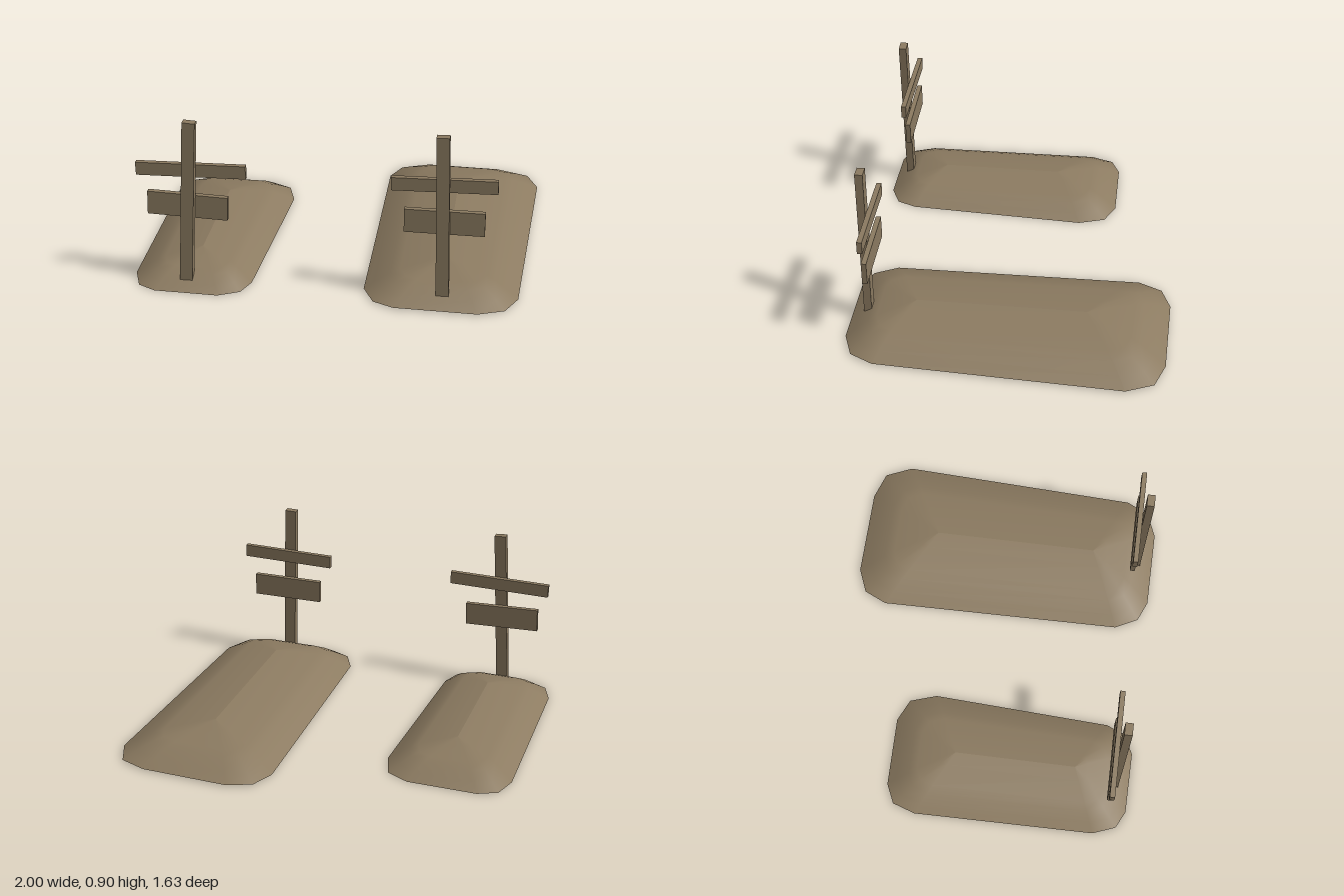
import * as THREE from 'three';

const earth = new THREE.MeshStandardMaterial({ color: 0x8c7b61, side: THREE.DoubleSide });
earth.name = 'weathered earth';

// Rise of the mound from rim (0) to ridge (1): [inset, height fraction]
const RISE = [[0, 0], [0.15, 0.3], [0.32, 0.57], [0.44, 0.7], [0.78, 0.91], [1, 1]];

// Open shell: rings shrink from the rim outline onto a straight ridge
function mound(name, rim, ridgeX, ridgeBack, ridgeFront, base, top) {
  const positions = [], index = [], n = rim.length;
  for (const [t, h] of RISE) {
    for (const [x, z] of rim) {
      const ridgeZ = z < (ridgeBack + ridgeFront) / 2 ? ridgeBack : ridgeFront;
      positions.push(x + (ridgeX - x) * t, base + (top - base) * h, z + (ridgeZ - z) * t);
    }
  }
  for (let r = 0; r < RISE.length - 1; r++) {
    for (let i = 0; i < n; i++) {
      const j = (i + 1) % n, a = r * n + i, b = r * n + j;
      index.push(a, a + n, b, b, a + n, b + n);
    }
  }
  const geometry = new THREE.BufferGeometry();
  geometry.setAttribute('position', new THREE.Float32BufferAttribute(positions, 3));
  geometry.setIndex(index);
  geometry.computeVertexNormals();
  const mesh = new THREE.Mesh(geometry, earth);
  mesh.name = name;
  return mesh;
}

function plank(name, width, height, depth, x, y, z, tilt) {
  const mesh = new THREE.Mesh(new THREE.BoxGeometry(width, height, depth), earth);
  mesh.name = name;
  mesh.position.set(x, y, z);
  mesh.rotation.z = tilt;
  return mesh;
}

// Leaning post with two boards on its back
function marker(name, post, upper, lower) {
  const group = new THREE.Group();
  group.name = name;
  group.add(
    plank('post', 0.063, post.height, 0.04, post.x, post.y, 0.72, post.tilt),
    plank('upperBoard', upper.width, 0.067, 0.026, upper.x, upper.y, 0.685, upper.tilt),
    plank('lowerBoard', lower.width, 0.122, 0.026, lower.x, lower.y, 0.685, lower.tilt),
  );
  return group;
}

export function createModel() {
  const model = new THREE.Group();
  model.name = 'graves';

  // Large mound and marker on the left
  model.add(mound('leftMound', [
    [0.34, -0.82], [0.8, -0.81], [0.94, -0.76], [1, -0.62], [0.94, 0.64], [0.88, 0.76],
    [0.75, 0.81], [0.34, 0.805], [0.235, 0.76], [0.175, 0.64], [0.16, -0.65], [0.215, -0.77],
  ], 0.57, -0.4, 0.47, 0.01, 0.13));
  model.add(marker('leftMarker',
    { height: 0.853, x: 0.564, y: 0.472, tilt: 0.02 },
    { width: 0.51, x: 0.565, y: 0.632, tilt: 0.02 },
    { width: 0.39, x: 0.57, y: 0.436, tilt: 0 }));

  // Small mound and marker on the right
  model.add(mound('rightMound', [
    [-0.86, -0.485], [-0.5, -0.485], [-0.385, -0.43], [-0.34, -0.29], [-0.39, 0.65], [-0.43, 0.75],
    [-0.535, 0.8], [-0.855, 0.795], [-0.945, 0.75], [-0.99, 0.63], [-1, -0.32], [-0.96, -0.44],
  ], -0.67, -0.14, 0.5, 0.003, 0.112));
  model.add(marker('rightMarker',
    { height: 0.864, x: -0.68, y: 0.467, tilt: -0.057 },
    { width: 0.545, x: -0.667, y: 0.629, tilt: 0.02 },
    { width: 0.4, x: -0.69, y: 0.437, tilt: -0.03 }));
  return model;
}
